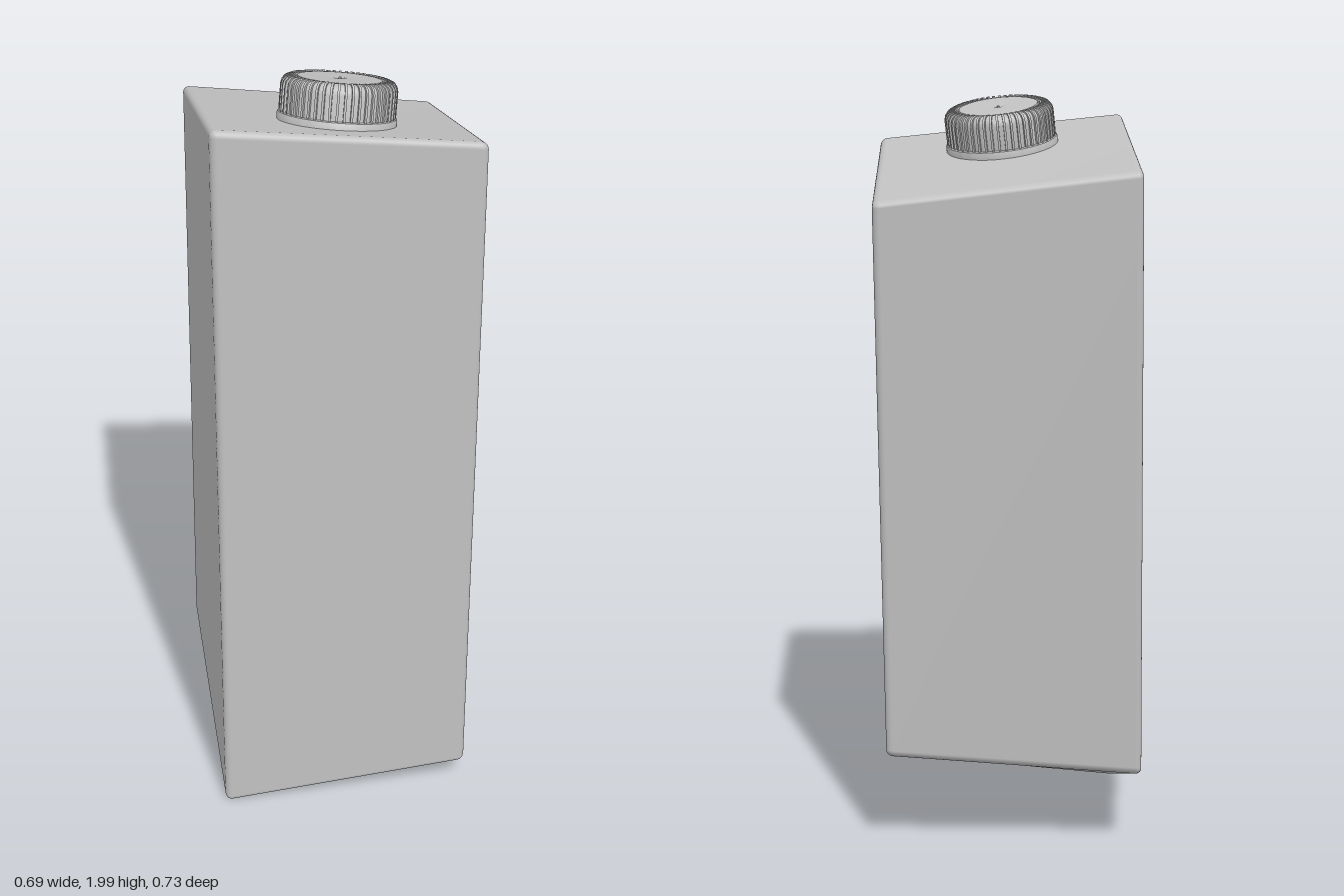
import * as THREE from 'three';
import { mergeGeometries, mergeVertices, toCreasedNormals } from 'three/addons/utils/BufferGeometryUtils.js';
import { RoundedBoxGeometry } from 'three/addons/geometries/RoundedBoxGeometry.js';

const V = (x, y, z) => new THREE.Vector3(x, y, z);

// Body corners: left/right by x, front/back by z
const bottom = {
  backLow: V(-0.347, 0.237, -0.27), backHigh: V(0.33, 0.297, -0.272),
  frontLow: V(-0.336, -0.002, 0.352), frontHigh: V(0.332, 0.066, 0.366),
};
const top = {
  backLow: V(-0.322, 1.826, -0.366), backHigh: V(0.345, 1.75, -0.347),
  frontLow: V(-0.325, 1.947, 0.318), frontHigh: V(0.342, 1.88, 0.328),
};

// Point on a four-cornered panel, u across and w from back to front
function panelPoint(p, u, w) {
  const back = p.backLow.clone().lerp(p.backHigh, u);
  const front = p.frontLow.clone().lerp(p.frontHigh, u);
  return back.lerp(front, w);
}

// Rounded box bent so that its corners meet the eight body corners
function bodyGeometry() {
  const w = 0.67, h = 1.76, d = 0.67;
  let g = new RoundedBoxGeometry(w, h, d, 4, 0.018);
  g.deleteAttribute('normal');
  g.deleteAttribute('uv');
  g.clearGroups();
  const pos = g.attributes.position;
  for (let i = 0; i < pos.count; i++) {
    const u = pos.getX(i) / w + 0.5, t = pos.getY(i) / h + 0.5, k = pos.getZ(i) / d + 0.5;
    const p = panelPoint(bottom, u, k).lerp(panelPoint(top, u, k), t);
    pos.setXYZ(i, p.x, p.y, p.z);
  }
  g = mergeVertices(g, 1e-5);
  g.computeVertexNormals();
  return g;
}

// Turned cap with base flange, rounded shoulder, ring groove and centre dimple
function capGeometry() {
  const profile = [
    [0.148, -0.012], [0.148, 0.012], [0.146, 0.016], [0.139, 0.018],
    [0.139, 0.080], [0.137, 0.090], [0.132, 0.098], [0.125, 0.102], [0.110, 0.105],
    [0.1085, 0.101], [0.1055, 0.101], [0.104, 0.105],
    [0.018, 0.105], [0.010, 0.1035], [0.004, 0.102], [0.003, 0.105], [0, 0.1055],
  ].map(([r, y]) => new THREE.Vector2(r, y));
  return toCreasedNormals(new THREE.LatheGeometry(profile, 96), 0.5);
}

// Grip ribs that run up the wall and over the shoulder
function ribsGeometry(count = 50) {
  const width = 0.006;
  const shape = new THREE.Shape([
    [0.130, 0.018], [0.1445, 0.018], [0.1445, 0.082], [0.142, 0.093],
    [0.135, 0.102], [0.126, 0.106], [0.114, 0.1075], [0.113, 0.098], [0.130, 0.090],
  ].map(([x, y]) => new THREE.Vector2(x, y)));
  const rib = new THREE.ExtrudeGeometry(shape, { depth: width, bevelEnabled: false });
  rib.translate(0, 0, -width / 2);
  const ribs = [];
  for (let i = 0; i < count; i++) {
    ribs.push(rib.clone().rotateY((i / count) * Math.PI * 2));
  }
  return mergeGeometries(ribs);
}

export function createModel() {
  const model = new THREE.Group();
  model.name = 'carton';
  const grey = new THREE.MeshStandardMaterial({ color: 0xc0c0c0 });
  grey.name = 'plain grey';

  const add = (parent, name, geometry) => {
    const mesh = new THREE.Mesh(geometry, grey);
    mesh.name = name;
    parent.add(mesh);
  };
  add(model, 'body', bodyGeometry());

  // Cap stands square on the sloping top panel
  const across = top.backHigh.clone().sub(top.backLow).add(top.frontHigh).sub(top.frontLow);
  const along = top.frontLow.clone().sub(top.backLow).add(top.frontHigh).sub(top.backHigh);
  const up = along.cross(across).normalize();
  const cap = new THREE.Group();
  cap.name = 'cap';
  cap.position.copy(panelPoint(top, 0.505, 0.655));
  cap.quaternion.setFromUnitVectors(V(0, 1, 0), up);
  add(cap, 'capShell', capGeometry());
  add(cap, 'capRibs', ribsGeometry());
  model.add(cap);
  return model;
}
